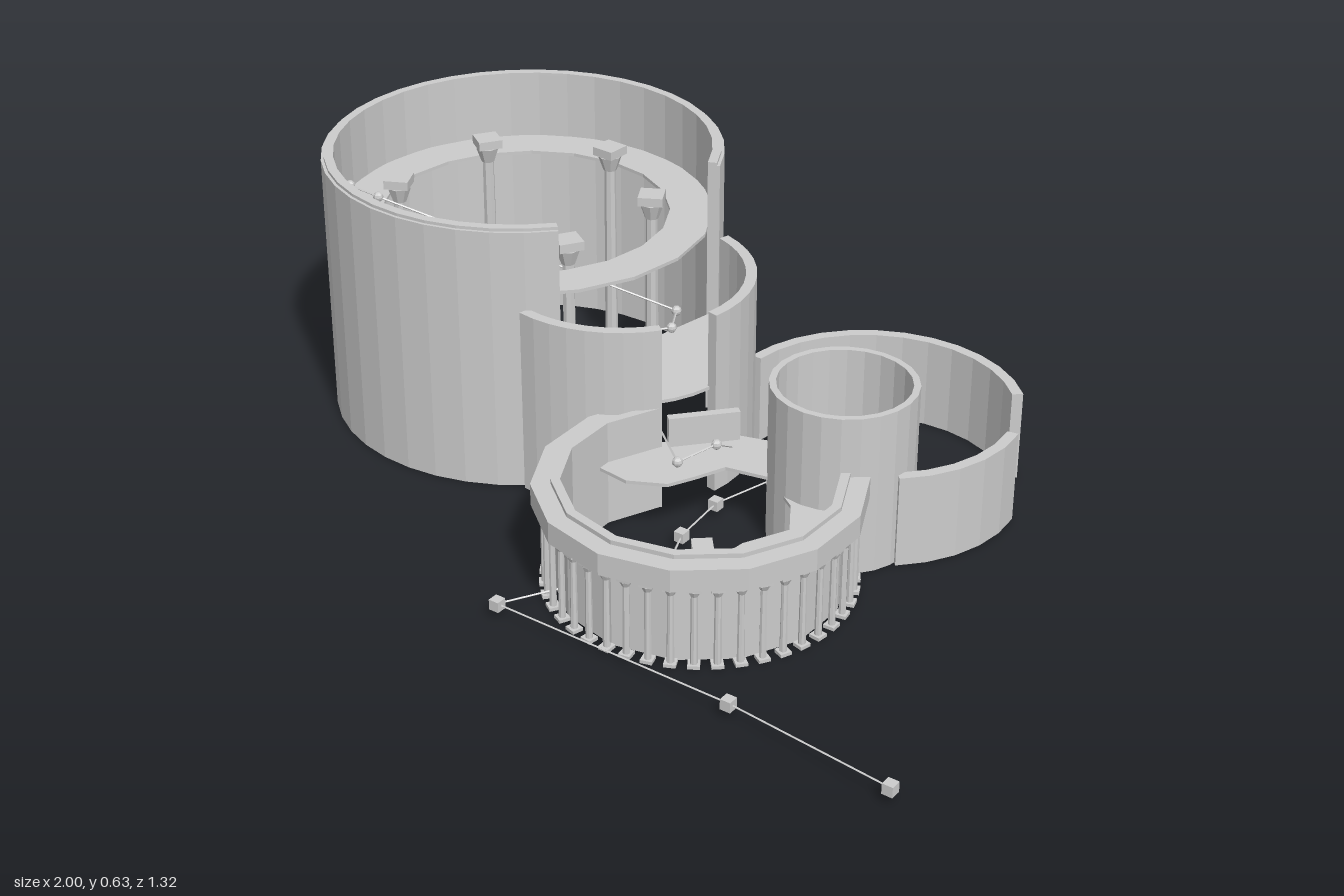
import * as THREE from 'three';

const material = new THREE.MeshStandardMaterial({ color: 0xcccccc, flatShading: true, side: THREE.DoubleSide });
const rad = THREE.MathUtils.degToRad;

export function createModel() {
  const model = new THREE.Group();

  function add(name, geometry, x, y, z, parent = model) {
    const mesh = new THREE.Mesh(geometry, material);
    mesh.name = name;
    mesh.position.set(x, y, z);
    parent.add(mesh);
    return mesh;
  }

  // Flat outline of [x, z] points raised from y to y + height
  function plate(name, points, y, height) {
    const shape = new THREE.Shape(points.map(([x, z]) => new THREE.Vector2(x, -z)));
    const geometry = new THREE.ExtrudeGeometry(shape, { depth: height, bevelEnabled: false });
    geometry.rotateX(-Math.PI / 2);
    return add(name, geometry, 0, y, 0);
  }

  // Points on an arc; angles run from +x towards +z
  function arc(cx, cz, r, from, to, n) {
    return Array.from({ length: n + 1 }, (_, i) => {
      const a = rad(from + (to - from) * i / n);
      return [cx + r * Math.cos(a), cz + r * Math.sin(a)];
    });
  }

  function wall(name, cx, cz, outer, inner, from, to, n, y, height) {
    const points = [...arc(cx, cz, outer, from, to, n), ...arc(cx, cz, inner, to, from, n)];
    return plate(name, points, y, height);
  }

  // Round shaft between a square base and a stepped capital
  function column(name, x, z, height, r, turn) {
    const group = new THREE.Group();
    group.name = name;
    group.position.set(x, 0, z);
    group.rotation.y = turn;
    const foot = height * 0.04;
    add('base', new THREE.BoxGeometry(r * 3.2, foot, r * 3.2), 0, foot / 2, 0, group);
    add('shaft', new THREE.CylinderGeometry(r * 0.85, r, height * 0.9, 8), 0, height * 0.47, 0, group);
    add('capital', new THREE.CylinderGeometry(r * 1.8, r, height * 0.07, 8), 0, height * 0.92, 0, group);
    add('abacus', new THREE.BoxGeometry(r * 3.6, foot, r * 3.6), 0, height - foot / 2, 0, group);
    model.add(group);
  }

  // Great round hall with its gallery
  wall('greatHallWall', -0.54, -0.2, 0.46, 0.432, 42, 338, 32, 0, 0.625);
  wall('greatHallCoping', -0.54, -0.2, 0.453, 0.432, 42, 338, 32, 0.625, 0.007);
  wall('greatHallGallery', -0.54, -0.2, 0.435, 0.335, 0, 360, 20, 0.46, 0.008);
  for (const [x, z] of [[-0.52, -0.5], [-0.79, -0.37], [-0.28, -0.34], [-0.81, -0.07], [-0.29, -0.04], [-0.56, 0.09]]) {
    column('hallColumn', x, z, 0.525, 0.016, -Math.atan2(z + 0.2, x + 0.54));
  }

  // Middle hall, with a doorway towards the colonnade
  wall('middleHallWall', -0.2, -0.12, 0.3, 0.275, -73, 11, 10, 0, 0.44);
  wall('middleHallWall', -0.2, -0.12, 0.3, 0.275, 37, 101, 8, 0, 0.44);
  plate('middleHallFloor', arc(-0.2, -0.12, 0.28, -73, 95, 18), 0.25, 0.008);

  // Low court with an entrance gap
  wall('courtWall', 0.36, -0.29, 0.335, 0.31, -177, -41, 12, 0, 0.215);
  wall('courtWall', 0.36, -0.29, 0.335, 0.31, -10, 49, 5, 0, 0.215);

  // Small tower
  wall('tower', 0.415, -0.075, 0.16, 0.145, 0, 360, 24, 0, 0.375);

  // Open ring with columns carrying its cornice
  const [cx, cz] = [0.267, 0.24];
  wall('colonnadeWall', cx, cz, 0.31, 0.29, -37, 217, 10, 0, 0.25);
  wall('colonnadeCornice', cx, cz, 0.352, 0.3, -37, 217, 10, 0.19, 0.05);
  for (const [x, z] of arc(cx, cz, 0.326, -34, 214, 30)) {
    column('colonnadeColumn', x, z, 0.19, 0.008, -Math.atan2(z - cz, x - cx));
  }

  // Raised curving terrace and the lintel at the doorway
  plate('terrace', [
    [-0.1, 0.17], [-0.02, 0.21], [0.06, 0.22], [0.14, 0.18], [0.17, 0.12], [0.2, 0.05], [0.3, 0.03],
    [0.4, 0.1], [0.45, 0.18], [0.4, 0.28], [0.39, 0.37], [0.45, 0.42], [0.53, 0.36], [0.56, 0.2],
    [0.5, 0.03], [0.38, -0.08], [0.25, -0.11], [0.15, -0.08], [0.02, 0.05]
  ], 0.145, 0.008);
  add('doorLintel', new THREE.BoxGeometry(0.16, 0.07, 0.02), 0.1, 0.19, -0.01).rotation.y = rad(48);

  // Pedestal in the middle of the ring
  add('pedestal', new THREE.BoxGeometry(0.045, 0.08, 0.045), 0.27, 0.04, 0.235).rotation.y = rad(40);

  // Thin routes with a marker at each stop
  function route(name, stops, marker) {
    const points = stops.map(p => new THREE.Vector3(...p));
    points.forEach((p, i) => {
      add(name + 'Marker', marker, p.x, p.y, p.z);
      if (i === 0) return;
      const path = new THREE.LineCurve3(points[i - 1], p);
      add(name + 'Line', new THREE.TubeGeometry(path, 1, 0.0025, 4), 0, 0, 0);
    });
  }
  route('groundRoute', [
    [0.985, 0.03, 0.65], [0.595, 0.03, 0.61], [0.015, 0.03, 0.605], [0.21, 0.03, 0.27], [0.17, 0.03, 0.17],
    [0.155, 0.03, 0.02], [0.2, 0.03, -0.14], [0.12, 0.03, -0.23], [0.37, 0.03, -0.4]
  ], new THREE.BoxGeometry(0.024, 0.024, 0.024));
  route('upperRoute', [
    [-0.87, 0.525, 0.03], [-0.775, 0.525, 0.04], [-0.17, 0.28, -0.285], [-0.13, 0.28, -0.21], [-0.185, 0.28, -0.13],
    [-0.135, 0.28, -0.05], [0, 0.2, 0.035], [0.13, 0.18, 0.13], [0.155, 0.18, 0.02], [0.18, 0.1, -0.13], [0.23, 0.03, -0.28]
  ], new THREE.SphereGeometry(0.012, 8, 6));

  return model;
}
